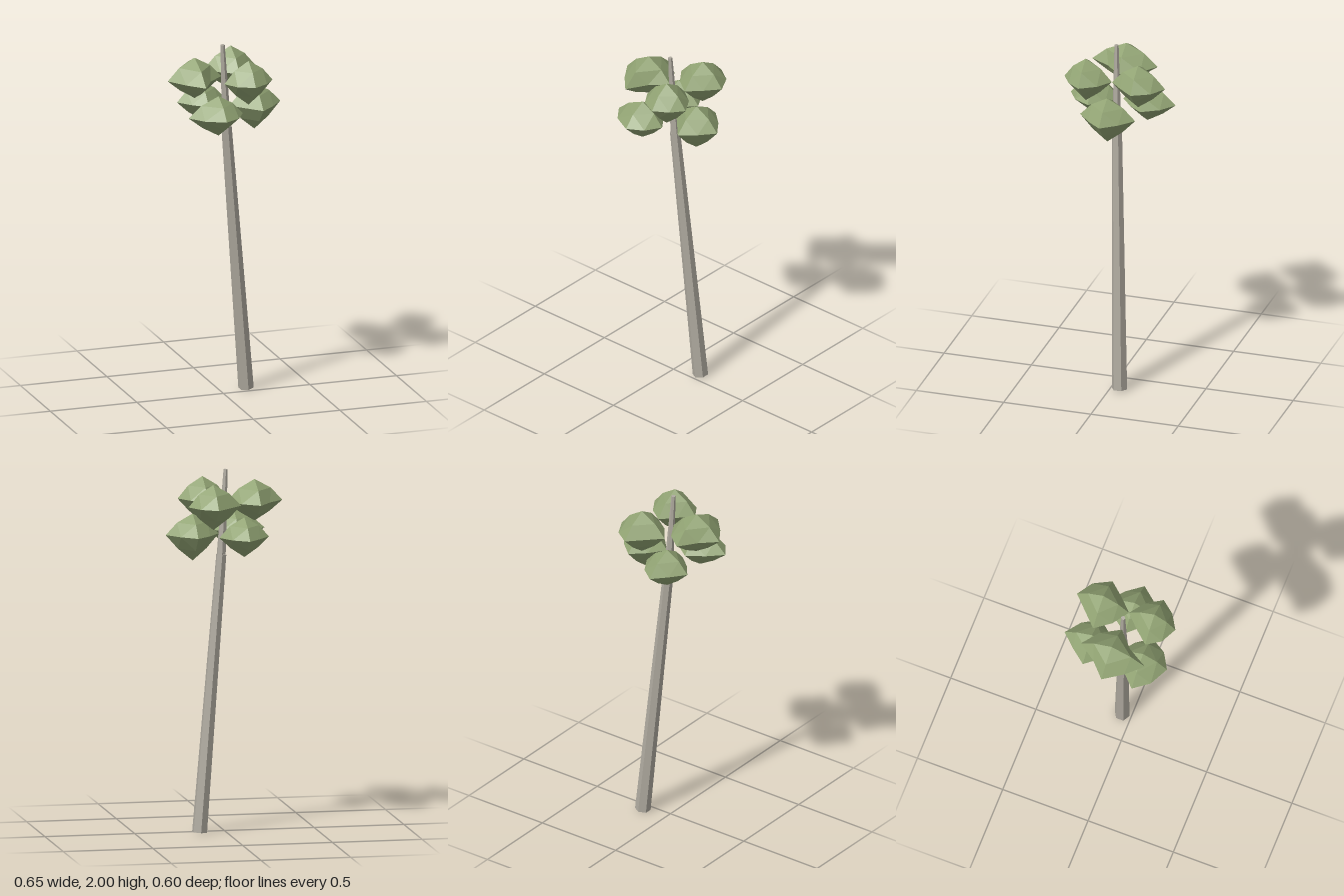
import * as THREE from 'three';

const bark = new THREE.MeshStandardMaterial({ color: 0xb0aba0, flatShading: true });
const leaf = new THREE.MeshStandardMaterial({ color: 0x91a373, flatShading: true });

// Tapered six-sided pole between two points
function pole(name, from, to, r0, r1) {
  const a = new THREE.Vector3(...from), b = new THREE.Vector3(...to);
  const dir = b.clone().sub(a);
  const mesh = new THREE.Mesh(new THREE.CylinderGeometry(r1, r0, dir.length(), 6), bark);
  mesh.name = name;
  mesh.position.copy(a).add(b).multiplyScalar(0.5);
  mesh.quaternion.setFromUnitVectors(new THREE.Vector3(0, 1, 0), dir.normalize());
  return mesh;
}

// Lumpy octahedral leaf cluster.
// reach: distance to the tips [-x, +x, -y, +y, -z, +z]
// waist: fullness of the level edges [-x-z, +x-z, +x+z, -x+z] (0.5 is straight)
function cluster(name, centre, reach, waist) {
  const geo = new THREE.OctahedronGeometry(1, 1);
  const p = geo.attributes.position;
  for (let i = 0; i < p.count; i++) {
    const s = [p.getX(i), p.getY(i), p.getZ(i)].map((c) => (Math.abs(c) < 0.1 ? 0 : Math.sign(c)));
    const corners = s.filter((c) => c !== 0).length;
    let k = 1;
    if (corners === 2) {
      if (s[1] === 0) k = s[2] < 0 ? waist[s[0] < 0 ? 0 : 1] : waist[s[0] > 0 ? 2 : 3];
      else k = s[1] > 0 ? 0.58 : 0.54;
    }
    const v = s.map((c, j) => c * k * reach[j * 2 + (c > 0 ? 1 : 0)]);
    p.setXYZ(i, ...v);
  }
  geo.computeVertexNormals();
  const mesh = new THREE.Mesh(geo, leaf);
  mesh.name = name;
  mesh.position.set(...centre);
  return mesh;
}

export function createModel() {
  const tree = new THREE.Group();
  tree.name = 'tree';

  // Leaning trunk with a thinner tip
  tree.add(pole('trunk', [0.149, 0.004, -0.053], [0.016, 1.53, 0.005], 0.043, 0.029));
  tree.add(pole('trunkTip', [0.017, 1.52, 0.005], [-0.01, 1.999, 0.015], 0.026, 0.012));

  // Upper ring of leaves
  tree.add(cluster('upperRightLeaves', [-0.17, 1.82, 0.01],
    [0.155, 0.155, 0.11, 0.12, 0.18, 0.195], [0.45, 0.6, 0.42, 0.54]));
  tree.add(cluster('upperBackLeaves', [0.09, 1.82, -0.14],
    [0.155, 0.138, 0.13, 0.12, 0.155, 0.15], [0.5, 0.63, 0.52, 0.58]));
  tree.add(cluster('upperFrontLeaves', [0.09, 1.82, 0.16],
    [0.14, 0.138, 0.13, 0.12, 0.15, 0.122], [0.52, 0.6, 0.59, 0.64]));

  // Lower ring of leaves
  tree.add(cluster('lowerBackLeaves', [-0.083, 1.645, -0.14],
    [0.137, 0.14, 0.11, 0.11, 0.16, 0.14], [0.52, 0.6, 0.55, 0.55]));
  tree.add(cluster('lowerFrontLeaves', [-0.083, 1.645, 0.16],
    [0.173, 0.14, 0.115, 0.11, 0.14, 0.14], [0.55, 0.58, 0.63, 0.62]));
  tree.add(cluster('lowerLeftLeaves', [0.175, 1.645, 0.01],
    [0.145, 0.15, 0.145, 0.115, 0.16, 0.155], [0.55, 0.55, 0.54, 0.5]));

  return tree;
}
